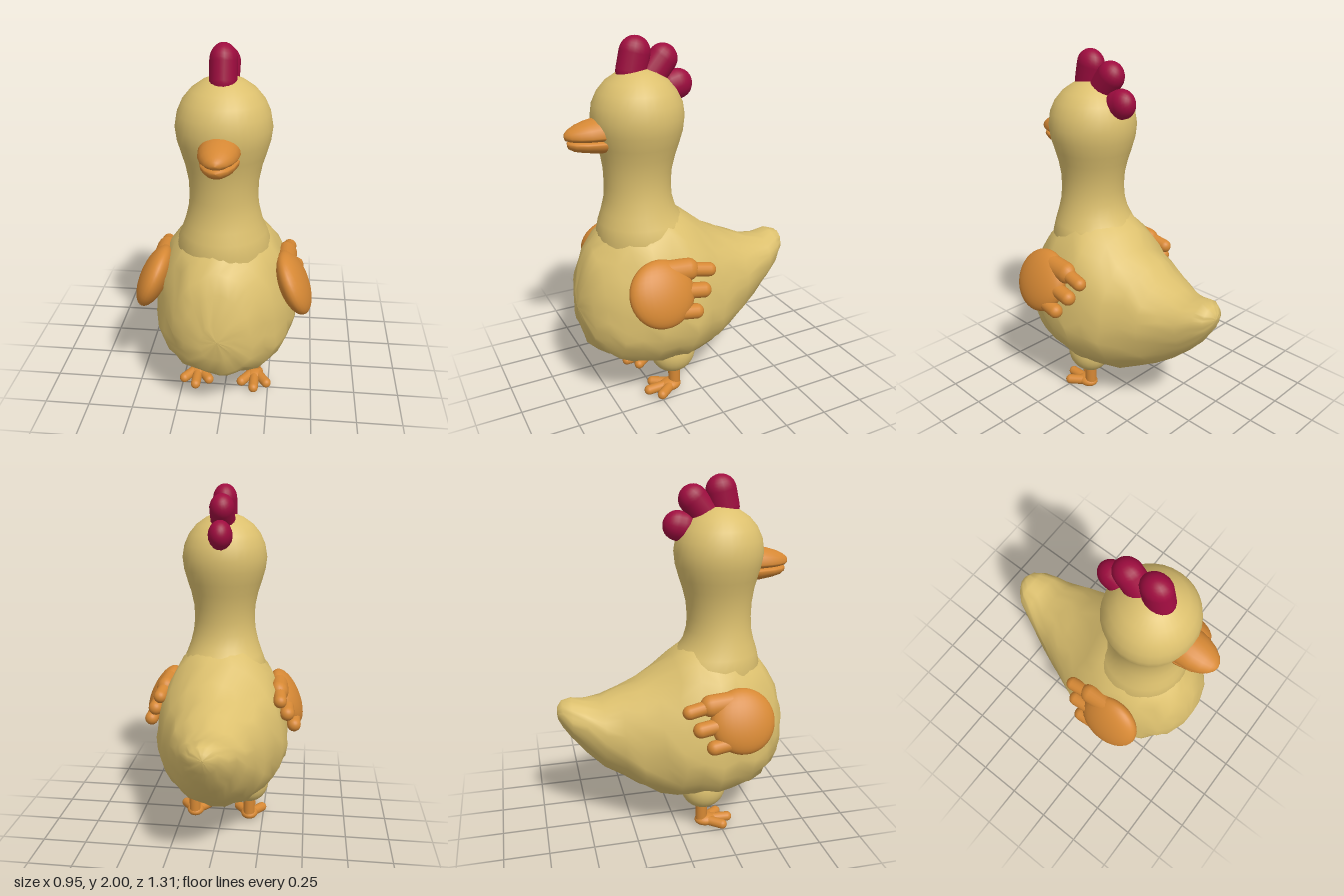
import * as THREE from 'three';

const feather = new THREE.MeshStandardMaterial({ name: 'creamFeathers', color: 0xdcc06e });
const orange = new THREE.MeshStandardMaterial({ name: 'orange', color: 0xd68834 });
const red = new THREE.MeshStandardMaterial({ name: 'crimson', color: 0x9e0c3f });

// Skin over sections [z, low y, widest y, high y, half width], running from +z to -z
function loft(sections, segs, bump = 0) {
  const pos = [], index = [];
  let seed = 7;
  const rand = () => ((seed = (seed * 16807) % 2147483647) / 2147483647) - 0.5;
  sections.forEach(([z, low, mid, high, w], r) => {
    const b = r === 0 || r === sections.length - 1 ? 0 : bump * Math.min(1, w / 0.3);
    for (let i = 0; i < segs; i++) {
      const a = ((i + (bump ? (r % 2) / 2 : 0)) / segs) * Math.PI * 2;
      const c = Math.cos(a), s = Math.sin(a), k = rand() * b;
      pos.push(c * (w + k), mid + s * ((s > 0 ? high - mid : mid - low) + k), z + rand() * b);
      if (r < sections.length - 1) {
        const j = (i + 1) % segs, p = r * segs, q = p + segs;
        index.push(p + i, q + i, p + j, q + i, q + j, p + j);
      }
    }
  });
  const g = new THREE.BufferGeometry();
  g.setAttribute('position', new THREE.Float32BufferAttribute(pos, 3));
  g.setIndex(index);
  g.computeVertexNormals();
  return g;
}

function add(parent, name, geometry, material) {
  const m = new THREE.Mesh(geometry, material);
  m.name = name;
  parent.add(m);
  return m;
}

// Rounded limb between two points, flattened in x by sx
function lobe(parent, name, material, from, to, r, sx = 1) {
  const a = new THREE.Vector3(...from), b = new THREE.Vector3(...to);
  const m = add(parent, name, new THREE.CapsuleGeometry(r, a.distanceTo(b), 8, 18), material);
  m.position.copy(a).add(b).multiplyScalar(0.5);
  m.quaternion.setFromUnitVectors(new THREE.Vector3(0, 1, 0), b.sub(a).normalize());
  m.scale.x = sx;
  return m;
}

function ball(parent, name, material, center, radii) {
  const m = add(parent, name, new THREE.SphereGeometry(1, 28, 20), material);
  m.position.set(...center);
  m.scale.set(...radii);
  return m;
}

export function createModel() {
  const model = new THREE.Group();
  model.name = 'chicken';

  // Lumpy body tapering into an upturned tail
  add(model, 'body', loft([
    [0.645, 0.58, 0.58, 0.58, 0],
    [0.635, 0.46, 0.56, 0.68, 0.09],
    [0.6, 0.36, 0.54, 0.83, 0.18],
    [0.55, 0.31, 0.53, 0.92, 0.24],
    [0.48, 0.26, 0.52, 1.0, 0.295],
    [0.4, 0.22, 0.52, 1.06, 0.34],
    [0.3, 0.2, 0.52, 1.11, 0.375],
    [0.2, 0.18, 0.52, 1.13, 0.39],
    [0.1, 0.175, 0.53, 1.1, 0.385],
    [0, 0.185, 0.54, 1.03, 0.362],
    [-0.1, 0.21, 0.56, 0.95, 0.325],
    [-0.2, 0.255, 0.58, 0.89, 0.282],
    [-0.3, 0.32, 0.61, 0.845, 0.237],
    [-0.4, 0.395, 0.64, 0.805, 0.192],
    [-0.5, 0.49, 0.68, 0.798, 0.152],
    [-0.57, 0.575, 0.71, 0.812, 0.118],
    [-0.62, 0.65, 0.73, 0.798, 0.077],
    [-0.645, 0.7, 0.735, 0.77, 0.035],
    [-0.65, 0.735, 0.735, 0.735, 0],
  ], 30, 0.022), feather);

  // Head and neck: [y, front z, back z, half width], turned upright
  const neck = [
    [1.845, 0.26, 0.26, 0], [1.838, 0.32, 0.2, 0.06], [1.82, 0.365, 0.155, 0.105],
    [1.78, 0.425, 0.1, 0.162], [1.73, 0.468, 0.058, 0.203], [1.67, 0.496, 0.028, 0.23],
    [1.6, 0.506, 0.018, 0.242], [1.53, 0.497, 0.026, 0.233], [1.46, 0.478, 0.046, 0.213],
    [1.4, 0.463, 0.066, 0.194], [1.32, 0.452, 0.086, 0.178], [1.24, 0.45, 0.093, 0.175],
    [1.17, 0.453, 0.09, 0.183], [1.1, 0.47, 0.07, 0.2], [1.04, 0.49, 0.03, 0.222],
    [0.97, 0.505, -0.03, 0.25], [0.85, 0.5, -0.05, 0.25],
  ];
  const head = loft(neck.map(([y, f, b, w]) => [y, -f, -(f + b) / 2, -b, w]), 32);
  head.rotateX(-Math.PI / 2);
  add(model, 'headAndNeck', head, feather);

  // Beak halves
  add(model, 'upperBeak', loft([
    [0.656, 1.53, 1.53, 1.53, 0], [0.65, 1.512, 1.53, 1.55, 0.025],
    [0.63, 1.505, 1.528, 1.566, 0.052], [0.59, 1.5, 1.528, 1.586, 0.078],
    [0.54, 1.497, 1.528, 1.602, 0.095], [0.48, 1.495, 1.528, 1.615, 0.102],
    [0.42, 1.495, 1.528, 1.615, 0.1],
  ], 24), orange);
  add(model, 'lowerBeak', loft([
    [0.643, 1.49, 1.49, 1.49, 0], [0.636, 1.468, 1.49, 1.505, 0.026],
    [0.61, 1.453, 1.49, 1.51, 0.055], [0.56, 1.442, 1.49, 1.512, 0.08],
    [0.48, 1.43, 1.49, 1.512, 0.097], [0.42, 1.43, 1.49, 1.512, 0.095],
  ], 24), orange);

  // Three-lobed comb
  const comb = new THREE.Group();
  comb.name = 'comb';
  model.add(comb);
  lobe(comb, 'frontCombLobe', red, [0, 1.83, 0.288], [0, 1.918, 0.268], 0.083, 0.82);
  lobe(comb, 'middleCombLobe', red, [0, 1.8, 0.18], [0, 1.876, 0.117], 0.079, 0.87);
  lobe(comb, 'rearCombLobe', red, [0, 1.735, 0.06], [0, 1.742, 0.034], 0.08, 0.82);

  for (const [side, sx] of [['left', 1], ['right', -1]]) {
    // Wing with three feather fingers, leaning in at the top
    const wing = new THREE.Group();
    wing.name = side + 'Wing';
    wing.position.set(sx * 0.374, 0.755, 0);
    wing.rotation.z = sx * 0.42;
    model.add(wing);
    ball(wing, 'wingPalm', orange, [0, 0, 0.305], [0.075, 0.178, 0.178]);
    lobe(wing, 'upperFeather', orange, [0, 0.107, 0.28], [0, 0.097, 0.14], 0.06, 0.85);
    lobe(wing, 'upperFeatherTip', orange, [0, 0.1, 0.16], [0, 0.072, 0.02], 0.038);
    lobe(wing, 'middleFeather', orange, [0, 0, 0.25], [0, -0.026, 0.072], 0.042);
    lobe(wing, 'lowerFeather', orange, [0, -0.1, 0.3], [0, -0.125, 0.135], 0.04);

    // Thigh, leg and three-toed foot
    const leg = new THREE.Group();
    leg.name = side + 'Leg';
    leg.position.x = sx * 0.168;
    model.add(leg);
    ball(leg, 'thigh', feather, [0, 0.265, 0.15], [0.115, 0.13, 0.13]);
    const shin = add(leg, 'shin', new THREE.CylinderGeometry(0.034, 0.034, 0.14, 18), orange);
    shin.position.set(0, 0.1, 0.142);
    const foot = ball(leg, 'footPad', orange, [0, 0.035, 0.17], [0.052, 0.034, 0.066]);
    foot.name = 'foot';
    for (const [x, z] of [[-0.072, 0.25], [0, 0.3], [0.072, 0.25]]) {
      lobe(leg, 'toe', orange, [x * 0.15, 0.036, 0.165], [x, 0.032, z], 0.028);
    }
  }
  return model;
}
